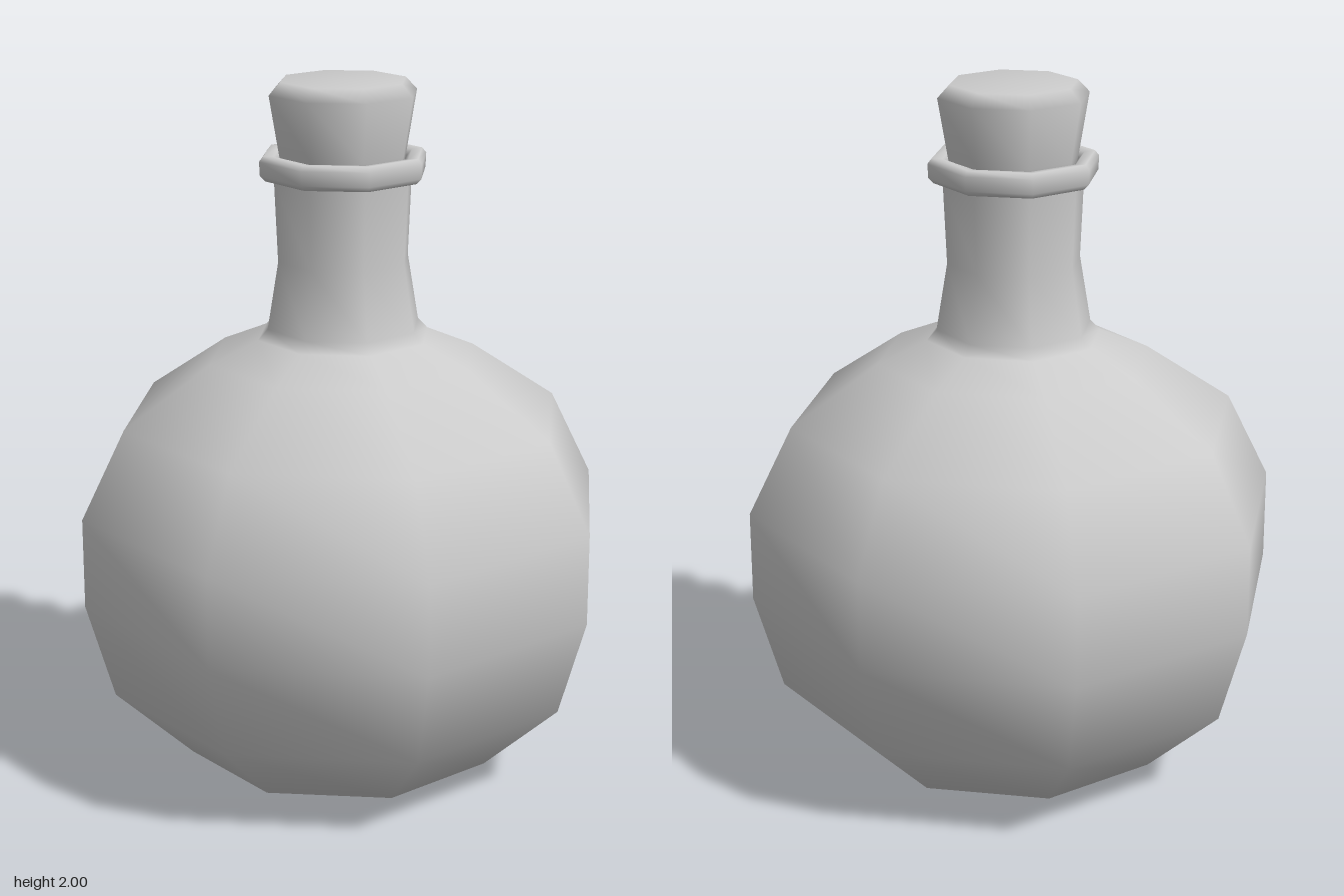
import * as THREE from 'three';

const SIDES = 8;

// Smooth-shaded octagonal solid of revolution from [radius, height] pairs, bottom to top
function turned(name, profile) {
  const points = profile.map(([r, y]) => new THREE.Vector2(r, y));
  const material = new THREE.MeshStandardMaterial({ color: 0xcccccc });
  const mesh = new THREE.Mesh(new THREE.LatheGeometry(points, SIDES), material);
  mesh.name = name;
  return mesh;
}

export function createModel() {
  const flask = new THREE.Group();
  flask.name = 'corkedFlask';

  // Round belly, shoulder and neck in one skin
  flask.add(turned('flaskBody', [
    [0, 0], [0.19, 0.005], [0.46, 0.05], [0.685, 0.26], [0.765, 0.54],
    [0.765, 0.8], [0.64, 1.05], [0.39, 1.22], [0.25, 1.28], [0.222, 1.31],
    [0.19, 1.5], [0.2, 1.73],
  ]));

  // Rolled lip, continuing over the rim and down inside the neck
  flask.add(turned('lip', [
    [0.195, 1.73], [0.225, 1.73], [0.24, 1.745], [0.242, 1.785],
    [0.23, 1.8], [0.2, 1.797], [0.185, 1.78], [0.175, 1.62],
  ]));

  // Tapered stopper with a bevelled top
  flask.add(turned('stopper', [
    [0, 1.65], [0.155, 1.65], [0.185, 1.8], [0.213, 1.965], [0.18, 2], [0, 2],
  ]));

  return flask;
}
